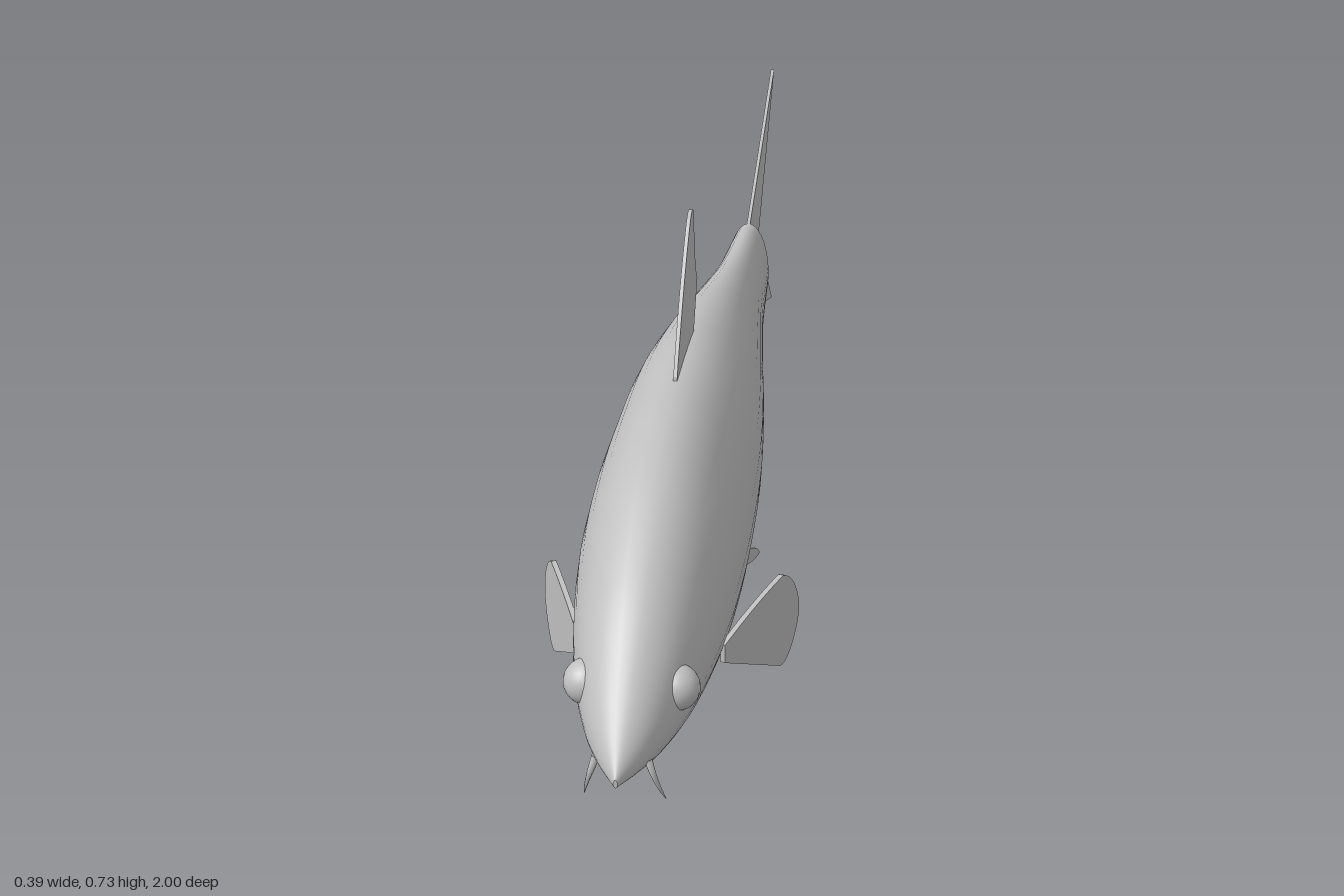
import * as THREE from 'three';

const skin = new THREE.MeshStandardMaterial({ color: 0xc0c0c0 });
skin.name = 'grey';
const V = (x, y, z) => new THREE.Vector3(x, y, z);

// Stations along the body: z, top height, bottom height, half width
const stations = [
  [1.0, 0.235, 0.222, 0.003], [0.95, 0.288, 0.208, 0.036], [0.89, 0.345, 0.19, 0.063],
  [0.79, 0.425, 0.164, 0.091], [0.64, 0.502, 0.136, 0.112], [0.5, 0.53, 0.12, 0.118],
  [0.36, 0.534, 0.116, 0.117], [0.2, 0.528, 0.124, 0.111], [0.0, 0.492, 0.139, 0.093],
  [-0.2, 0.443, 0.156, 0.07], [-0.4, 0.398, 0.176, 0.049], [-0.6, 0.371, 0.196, 0.037],
];

function bodyGeometry(rings = 66, sides = 36) {
  const heights = new THREE.CatmullRomCurve3(stations.map(s => V(s[0], s[1], s[2])), false, 'catmullrom');
  const widths = new THREE.CatmullRomCurve3(stations.map(s => V(s[0], s[3], 0)), false, 'catmullrom');
  const pos = [], idx = [];
  const addRing = t => {
    const h = heights.getPoint(t), w = widths.getPoint(t).y;
    const mid = h.z + (h.y - h.z) * 0.44; // egg section, widest below the middle
    for (let j = 0; j < sides; j++) {
      const a = (j / sides) * Math.PI * 2, s = Math.sin(a);
      pos.push(w * Math.cos(a), mid + s * (s > 0 ? h.y - mid : mid - h.z), h.x);
    }
  };
  for (let i = 0; i <= rings; i++) addRing(i / rings);
  for (let i = 0; i < rings; i++) {
    for (let j = 0; j < sides; j++) {
      const k = (j + 1) % sides, a = i * sides, b = a + sides;
      idx.push(a + j, b + j, a + k, a + k, b + j, b + k);
    }
  }
  // Flat ends with their own vertices
  for (const [t, flip] of [[0, false], [1, true]]) {
    const start = pos.length / 3;
    addRing(t);
    for (let j = 1; j < sides - 1; j++) {
      idx.push(start, start + (flip ? j + 1 : j), start + (flip ? j : j + 1));
    }
  }
  const g = new THREE.BufferGeometry();
  g.setAttribute('position', new THREE.Float32BufferAttribute(pos, 3));
  g.setIndex(idx);
  g.computeVertexNormals();
  return g;
}

// Thin plate drawn in the plane spanned by u and v from an origin
function fin(name, shape, thickness, origin, u, v) {
  const g = new THREE.ExtrudeGeometry(shape, { depth: thickness, bevelEnabled: false, curveSegments: 10 });
  g.translate(0, 0, -thickness / 2);
  const n = u.clone().cross(v).normalize();
  g.applyMatrix4(new THREE.Matrix4().makeBasis(u, v, n).setPosition(origin));
  const mesh = new THREE.Mesh(g, skin);
  mesh.name = name;
  return mesh;
}
const polygon = pts => new THREE.Shape(pts.map(p => new THREE.Vector2(p[0], p[1])));

// Tapered whisker
function barbel(side) {
  const curve = new THREE.CatmullRomCurve3([
    V(side * 0.036, 0.232, 0.94), V(side * 0.043, 0.21, 0.942),
    V(side * 0.051, 0.182, 0.934), V(side * 0.057, 0.156, 0.918),
  ]);
  const rings = 12, sides = 8;
  const g = new THREE.TubeGeometry(curve, rings, 0.006, sides);
  const p = g.attributes.position;
  for (let i = 0; i < p.count; i++) {
    const t = Math.floor(i / (sides + 1)) / rings;
    const c = curve.getPointAt(t), q = V(0, 0, 0).fromBufferAttribute(p, i);
    q.sub(c).multiplyScalar(1 - 0.9 * t).add(c);
    p.setXYZ(i, q.x, q.y, q.z);
  }
  const mesh = new THREE.Mesh(g, skin);
  mesh.name = 'barbel';
  return mesh;
}

export function createModel() {
  const fish = new THREE.Group();
  fish.name = 'fish';

  const body = new THREE.Mesh(bodyGeometry(), skin);
  body.name = 'body';
  fish.add(body);

  // Fins on the centre line, drawn as (z, y)
  const O = V(0, 0, 0), Z = V(0, 0, 1), Y = V(0, 1, 0);
  const tail = polygon([[-0.59, 0.368], [-1, 0.52], [-0.74, 0.285], [-1, 0.045], [-0.59, 0.198]]);
  fish.add(fin('tailFin', tail, 0.006, O, Z, Y));

  const dorsal = new THREE.Shape();
  dorsal.moveTo(0.39, 0.52);
  dorsal.lineTo(0.385, 0.54);
  dorsal.quadraticCurveTo(0.31, 0.66, 0.235, 0.722);
  dorsal.quadraticCurveTo(0.205, 0.745, 0.19, 0.722);
  dorsal.quadraticCurveTo(0.18, 0.62, 0.15, 0.598);
  dorsal.lineTo(0.2, 0.515);
  fish.add(fin('dorsalFin', dorsal, 0.006, O, Z, Y));

  const anal = polygon([[-0.105, 0.17], [-0.245, 0.002], [-0.395, 0.02], [-0.275, 0.18]]);
  fish.add(fin('analFin', anal, 0.006, O, Z, Y));

  for (const side of [1, -1]) {
    // Rounded paddle, swept back and outwards
    const paddle = new THREE.Shape();
    paddle.moveTo(0, 0.248);
    paddle.lineTo(0, 0.218);
    paddle.lineTo(0.172, 0.121);
    paddle.bezierCurveTo(0.2, 0.112, 0.228, 0.16, 0.232, 0.19);
    paddle.bezierCurveTo(0.23, 0.23, 0.205, 0.265, 0.178, 0.274);
    paddle.quadraticCurveTo(0.1, 0.27, 0, 0.248);
    fish.add(fin('pectoralFin', paddle, 0.008, V(side * 0.104, 0, 0.655), V(side * 0.375, 0, -0.927), Y));

    // Narrow belly fin, drawn along its length
    const u = V(side * 0.05, -0.07, -0.135).normalize();
    const w = V(side * 0.021, 0.005, -0.045);
    const v = w.addScaledVector(u, -w.dot(u)).normalize();
    const leaf = new THREE.Shape();
    leaf.moveTo(-0.03, -0.002);
    leaf.lineTo(0.13, -0.002);
    leaf.quadraticCurveTo(0.18, 0.004, 0.197, 0.024);
    leaf.quadraticCurveTo(0.194, 0.034, 0.17, 0.034);
    leaf.lineTo(-0.01, 0.034);
    fish.add(fin('pelvicFin', leaf, 0.006, V(side * 0.02, 0.119, 0.215), u, v));

    const eye = new THREE.Mesh(new THREE.SphereGeometry(0.033, 24, 16), skin);
    eye.name = 'eye';
    eye.position.set(side * 0.063, 0.291, 0.845);
    fish.add(eye, barbel(side));
  }
  return fish;
}
